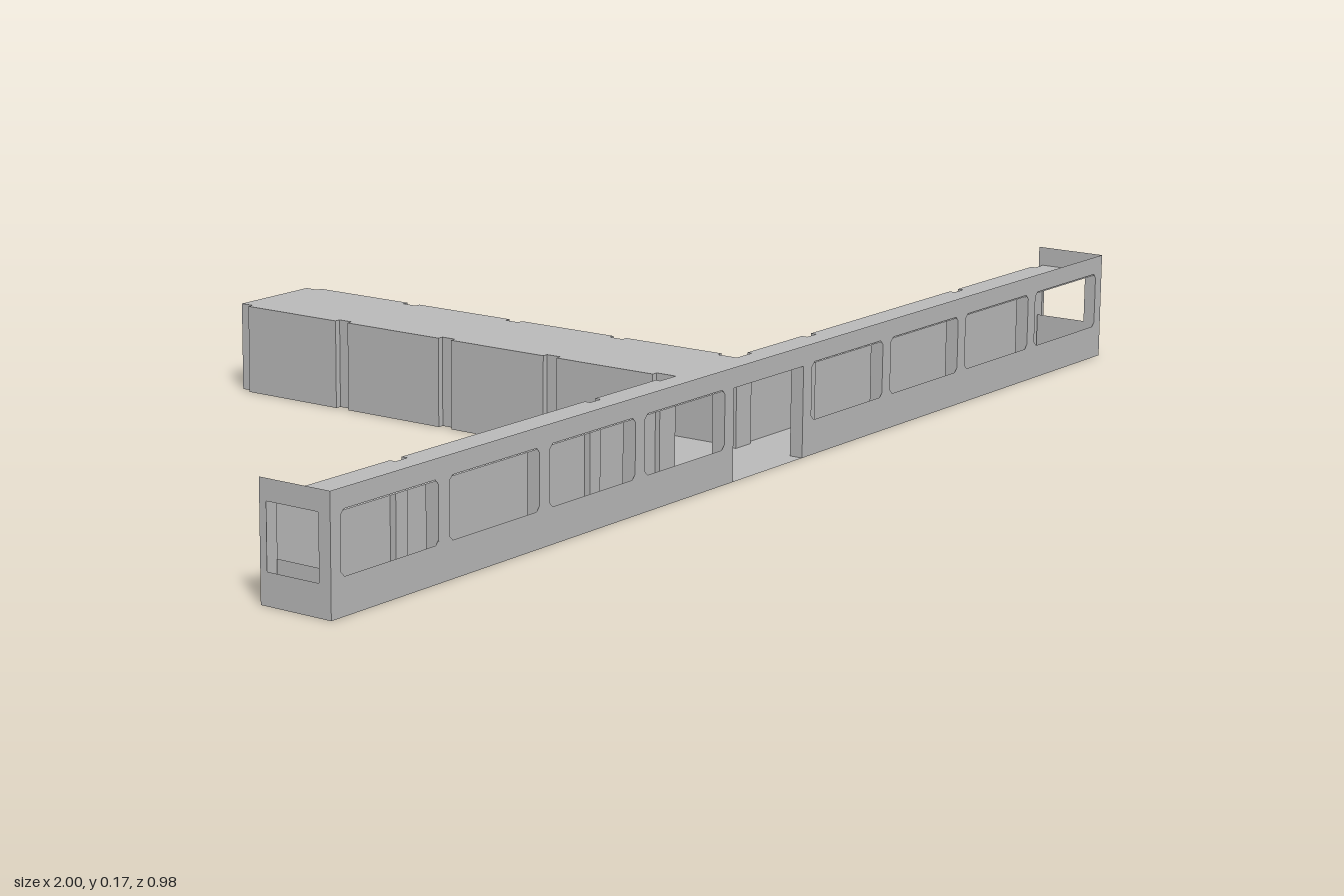
import * as THREE from 'three';

const TOP = 0.142;    // ceiling height
const FASCIA = 0.173; // top of the front and end panels
const FRONT = 0.488, BACK = -0.488;

// Adds a recess along z (stem) or x (corridor) to an outline
function notch(out, axis, a, b, face, inner) {
  const pts = [[a, face], [a, inner], [b, inner], [b, face]];
  pts.forEach(([t, d]) => out.push(axis === 'z' ? [d, t] : [t, d]));
}

// Right half of the notched T-shaped plan, from the back end to the front
function halfPlan() {
  const p = [[0.08, BACK], [0.08, -0.465], [0.09, -0.465]];
  for (const z of [-0.28, -0.07, 0.135]) notch(p, 'z', z, z + 0.025, 0.09, 0.08);
  p.push([0.09, 0.34], [0.08, 0.34], [0.08, 0.375], [0.12, 0.375], [0.12, 0.367]);
  for (const x of [0.27, 0.71]) notch(p, 'x', x, x + 0.025, 0.367, 0.377);
  p.push([0.975, 0.367], [0.975, 0.375], [1, 0.375], [1, 0.468], [0.98, 0.468], [0.98, FRONT]);
  for (const x of [0.78, 0.56, 0.337, 0.115]) notch(p, 'x', x, x - 0.023, FRONT, 0.466);
  return p;
}

// Clipped-corner rectangle used for openings
function opening(x0, x1, y0, y1, c = 0.007) {
  return new THREE.Path([[x0 + c, y0], [x1 - c, y0], [x1, y0 + c], [x1, y1 - c],
    [x1 - c, y1], [x0 + c, y1], [x0, y1 - c], [x0, y0 + c]]
    .map(([x, y]) => new THREE.Vector2(x, y)));
}

const shapeOf = (pts) => new THREE.Shape(pts.map(([x, y]) => new THREE.Vector2(x, y)));

export function createModel() {
  const model = new THREE.Group();
  model.name = 'corridor';
  const grey = new THREE.MeshStandardMaterial({ color: 0xbbbbbb, side: THREE.DoubleSide });
  grey.name = 'plain grey';

  const add = (name, geometry, parent = model) => {
    const mesh = new THREE.Mesh(geometry, grey);
    mesh.name = name;
    parent.add(mesh);
    return mesh;
  };

  // Floor and ceiling share the same plan
  const half = halfPlan();
  const plan = [...half, ...half.slice().reverse().map(([x, z]) => [-x, z])];
  const slab = new THREE.ShapeGeometry(shapeOf(plan.map(([x, z]) => [x, -z])));
  slab.rotateX(-Math.PI / 2);
  add('floor', slab);
  add('ceiling', slab.clone()).position.y = TOP;

  // Walls follow the plan, leaving the front, the ends and the stem end open
  const walls = new THREE.Group();
  walls.name = 'walls';
  model.add(walls);
  for (const side of [1, -1]) {
    for (let i = 0; i < half.length - 1; i++) {
      const [ax, az] = half[i], [bx, bz] = half[i + 1];
      if ((az === FRONT && bz === FRONT) || (ax === 1 && bx === 1)) continue;
      const g = new THREE.PlaneGeometry(Math.hypot(bx - ax, bz - az), TOP);
      g.rotateY(Math.atan2(-(bz - az), side * (bx - ax)));
      g.translate(side * (ax + bx) / 2, TOP / 2, (az + bz) / 2);
      add('wallPanel', g, walls);
    }
  }

  // Front panel with a doorway and eight windows
  const front = shapeOf([[-1, 0], [-0.092, 0], [-0.092, TOP], [0.092, TOP], [0.092, 0],
    [1, 0], [1, FASCIA], [-1, FASCIA]]);
  for (const [a, b] of [[0.115, 0.314], [0.337, 0.537], [0.56, 0.757], [0.78, 0.98]]) {
    front.holes.push(opening(a, b, 0.054, 0.144), opening(-b, -a, 0.054, 0.144));
  }
  add('frontPanel', new THREE.ShapeGeometry(front)).position.z = FRONT;

  // End panels with one window and an inner sill
  for (const side of [1, -1]) {
    const end = shapeOf([[-FRONT, 0], [-0.367, 0], [-0.367, FASCIA], [-FRONT, FASCIA]]);
    end.holes.push(opening(-0.468, -0.379, 0.047, TOP, 0.001));
    const g = new THREE.ShapeGeometry(end);
    g.rotateY(Math.PI / 2);
    add('endPanel', g).position.x = side;

    const sill = new THREE.PlaneGeometry(0.09, 0.06);
    sill.rotateY(side * Math.PI / 2);
    add('endSill', sill).position.set(side * 0.98, 0.03, 0.4235);
  }
  return model;
}
